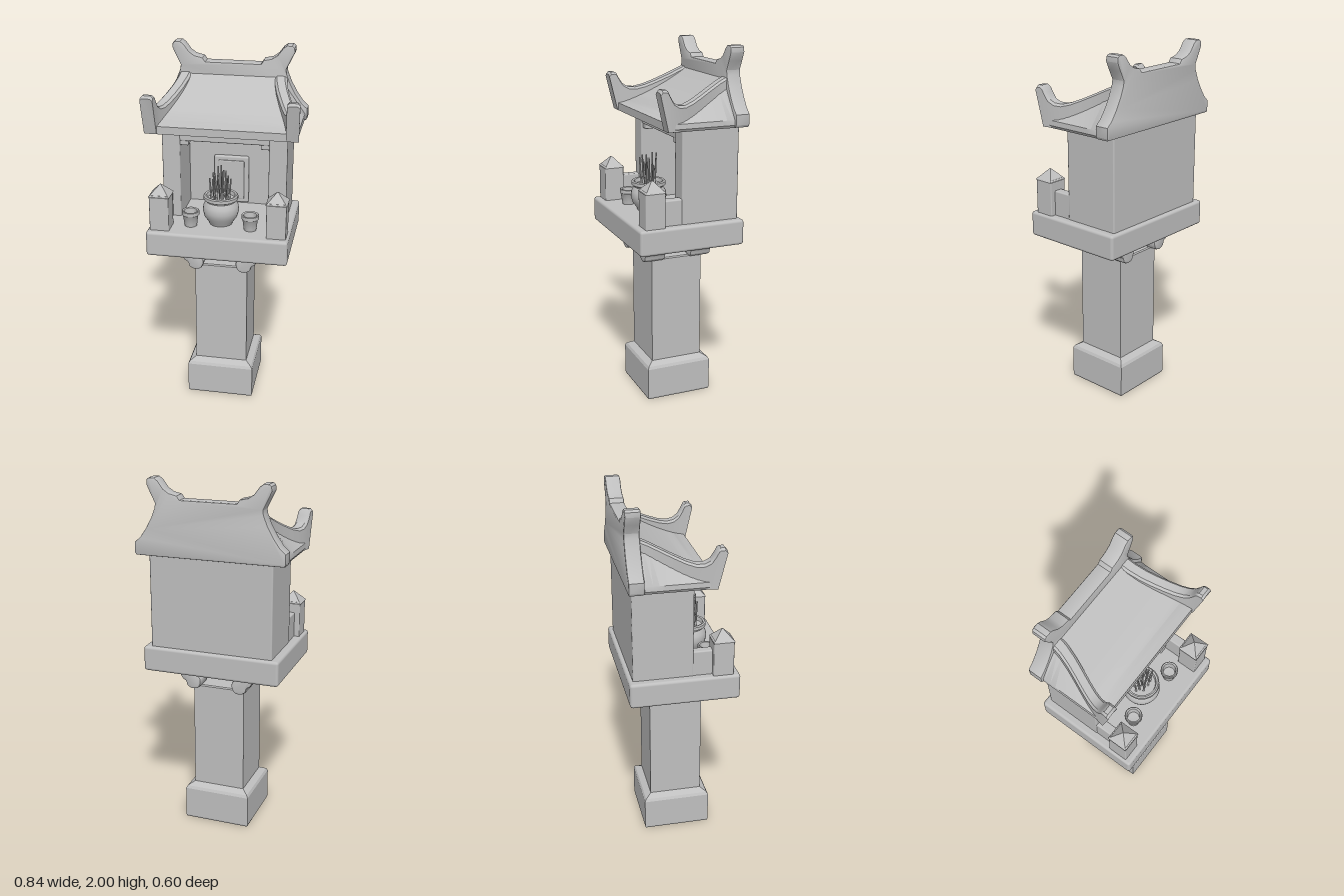
import * as THREE from 'three';
import { toCreasedNormals } from 'three/addons/utils/BufferGeometryUtils.js';
import { RoundedBoxGeometry } from 'three/addons/geometries/RoundedBoxGeometry.js';

const stone = new THREE.MeshStandardMaterial({ color: 0xbfbfbf });
stone.name = 'grey stone';

const V2 = (list) => list.map(([x, y]) => new THREE.Vector2(x, y));

// Skin between rings (counterclockwise seen from +z), running towards +z, with end caps
function loft(rings) {
  const n = rings[0].length, idx = [];
  for (let i = 0; i < rings.length - 1; i++) {
    for (let j = 0; j < n; j++) {
      const a = i * n + j, b = i * n + (j + 1) % n;
      idx.push(a, b, b + n, a, b + n, a + n);
    }
  }
  const last = (rings.length - 1) * n;
  for (let j = 1; j < n - 1; j++) {
    idx.push(0, j + 1, j, last, last + j, last + j + 1);
  }
  const g = new THREE.BufferGeometry();
  g.setAttribute('position', new THREE.Float32BufferAttribute(rings.flat(2), 3));
  g.setIndex(idx);
  return toCreasedNormals(g, 0.6);
}

// Centre line of the curved roof ribs
const ribX = (z) => 0.265 + 0.12 * THREE.MathUtils.smoothstep(z, -0.25, 0.2);

export function createModel() {
  const model = new THREE.Group();
  model.name = 'spirit house';

  const add = (name, geo, x = 0, y = 0, z = 0, sx = 1) => {
    const m = new THREE.Mesh(geo, stone);
    m.name = name;
    m.position.set(x, y, z);
    m.scale.x = sx;
    model.add(m);
    return m;
  };
  // Rounded box from its limits
  const box = (name, x0, x1, y0, y1, z0, z1, r = 0.008) =>
    add(name, new RoundedBoxGeometry(x1 - x0, y1 - y0, z1 - z0, 2, r),
      (x0 + x1) / 2, (y0 + y1) / 2, (z0 + z1) / 2);

  // Hollow square foot and pillar
  const pillarProfile = [[0, 0.8], [0.12, 0.8], [0.12, 0.2], [0.165, 0.17], [0.178, 0],
    [0.186, 0], [0.19, 0.01], [0.19, 0.185], [0.182, 0.2], [0.148, 0.22], [0.148, 0.825],
    [0.143, 0.832], [0, 0.832]].map(([r, y]) => [r * Math.SQRT2, y]);
  add('pillar', toCreasedNormals(
    new THREE.LatheGeometry(V2(pillarProfile), 4, Math.PI / 4), 0.3), 0, 0, -0.004);

  // Scrolled brackets under the platform
  const scroll = new THREE.Shape();
  scroll.moveTo(0.14, 0.945);
  scroll.lineTo(0.14, 0.925);
  scroll.splineThru(V2([[0.1, 0.895], [0.09, 0.865], [0.105, 0.83], [0.14, 0.82],
    [0.17, 0.835], [0.18, 0.86], [0.2, 0.875], [0.213, 0.905], [0.21, 0.945]]));
  const scrollGeo = toCreasedNormals(new THREE.ExtrudeGeometry(scroll, {
    depth: 0.1, bevelThickness: 0.012, bevelSize: 0.01, bevelOffset: -0.01,
    bevelSegments: 2, curveSegments: 24 }), 0.7);
  for (const s of [1, -1]) {
    for (const z of [0.085, -0.188]) add('bracket', scrollGeo, 0, 0, z, s);
  }

  // Platform
  box('platform', -0.388, 0.386, 0.935, 1.076, -0.3, 0.3, 0.016);

  // House walls around the open niche
  box('backWall', -0.345, 0.345, 1.06, 1.6, -0.277, -0.2);
  box('lintel', -0.335, 0.335, 1.518, 1.6, -0.24, 0.044);
  for (const s of [1, -1]) {
    const side = (name, a, b, ...rest) =>
      box(name, Math.min(s * a, s * b), Math.max(s * a, s * b), ...rest);
    side('sideWall', 0.245, 0.345, 1.06, 1.6, -0.277, 0.05);
    side('lintelCorner', 0.198, 0.25, 1.492, 1.53, -0.01, 0.04, 0.006);
    side('lowWall', 0.29, 0.342, 1.06, 1.215, 0.03, 0.17);

    // Front post with pyramid cap
    side('frontPost', 0.265, 0.372, 1.06, 1.275, 0.153, 0.265, 0.006);
    const cap = new THREE.CylinderGeometry(0.004, 0.058 * Math.SQRT2, 0.06, 4, 1)
      .rotateY(Math.PI / 4);
    add('postCap', toCreasedNormals(cap, 0.3), s * 0.318, 1.296, 0.209);
  }

  // Framed tablet on the back wall of the niche
  box('tabletFrame', -0.1, 0.1, 1.085, 1.365, -0.205, -0.178, 0.01);
  box('tabletFace', -0.075, 0.075, 1.11, 1.34, -0.19, -0.17, 0.006);

  // Roof body: concave front slope with hips dropping to the side eaves
  const roof = [];
  for (let i = 0; i <= 12; i++) {
    const t = i / 12, z = -0.24 + 0.39 * t, w = ribX(z);
    const h = 1.628 + 0.212 * Math.pow(1 - t, 1.35);
    roof.push([[-0.398, 1.585, z], [0.398, 1.585, z], [0.407, 1.6, z], [0.405, 1.627, z],
      [w, h, z], [-w, h, z], [-0.405, 1.627, z], [-0.407, 1.6, z]]);
  }
  add('roof', loft(roof));

  // Ribs sweeping forward into upturned horns: top z, top y, bottom z
  const ribRows = [[-0.24, 1.842, -0.24], [-0.18, 1.815, -0.18], [-0.12, 1.785, -0.12],
    [-0.06, 1.756, -0.06], [0, 1.73, 0], [0.05, 1.716, 0.04], [0.09, 1.719, 0.07],
    [0.122, 1.738, 0.1], [0.142, 1.77, 0.12], [0.156, 1.797, 0.135], [0.166, 1.804, 0.14],
    [0.188, 1.804, 0.147], [0.2, 1.79, 0.155]];
  const ribGeo = loft(ribRows.map(([zt, yt, zb]) => {
    const ct = ribX(zt), cb = ribX(zb) - 0.002, r = 0.034;
    return [[cb - r, 1.588, zb], [cb + r, 1.588, zb], [ct + r, yt - 0.012, zt],
      [ct + r - 0.012, yt, zt], [ct - r + 0.012, yt, zt], [ct - r, yt - 0.012, zt]];
  }));
  for (const s of [1, -1]) add('roofRib', ribGeo, 0, 0, 0, s);

  // Rear gable panel with flared ridge tips
  const half = [[0.41, 1.587], [0.418, 1.6], [0.418, 1.655], [0.385, 1.685], [0.35, 1.735],
    [0.32, 1.79], [0.298, 1.845], [0.295, 1.87], [0.32, 1.92], [0.341, 1.965], [0.338, 1.99],
    [0.325, 2], [0.295, 2], [0.275, 1.985], [0.245, 1.945], [0.215, 1.925], [0.17, 1.915],
    [0.155, 1.893]];
  const outline = [...half, ...half.map(([x, y]) => [-x, y]).reverse()];
  const gable = new THREE.ExtrudeGeometry(new THREE.Shape(V2(outline)), {
    depth: 0.062, bevelThickness: 0.01, bevelSize: 0.008, bevelOffset: -0.008, bevelSegments: 2 });
  add('rearGable', toCreasedNormals(gable, 0.6), 0, 0, -0.291);

  // Incense pot
  const pot = [[0, 1.07], [0.06, 1.07], [0.068, 1.09], [0.09, 1.12], [0.1, 1.155], [0.096, 1.185],
    [0.082, 1.21], [0.084, 1.216], [0.095, 1.222], [0.095, 1.24], [0.088, 1.246], [0.078, 1.243],
    [0.074, 1.222], [0, 1.222]];
  add('incensePot', toCreasedNormals(new THREE.LatheGeometry(V2(pot), 32), 0.7), -0.008, 0, 0.1);

  // Incense sticks, spread in a spiral
  for (let i = 0; i < 18; i++) {
    const a = i * 2.4, r = 0.058 * Math.sqrt((i + 0.5) / 18);
    const len = 0.12 + 0.06 * (0.5 + 0.5 * Math.sin(i * 4.7));
    const stick = add('incenseStick', new THREE.CylinderGeometry(0.004, 0.006, len, 6),
      -0.008 + r * Math.cos(a), 1.215 + len / 2, 0.1 + r * 0.85 * Math.sin(a));
    stick.rotation.set(0.05 * Math.sin(a), 0, -0.08 * Math.cos(a));
  }

  // Offering cups
  const cup = [[0, 1.07], [0.032, 1.07], [0.036, 1.09], [0.042, 1.135], [0.048, 1.142],
    [0.048, 1.162], [0.044, 1.166], [0.036, 1.162], [0.032, 1.12], [0, 1.115]];
  const cupGeo = toCreasedNormals(new THREE.LatheGeometry(V2(cup), 20), 0.7);
  for (const s of [1, -1]) add('offeringCup', cupGeo, s * 0.165, 0, 0.163);

  return model;
}
